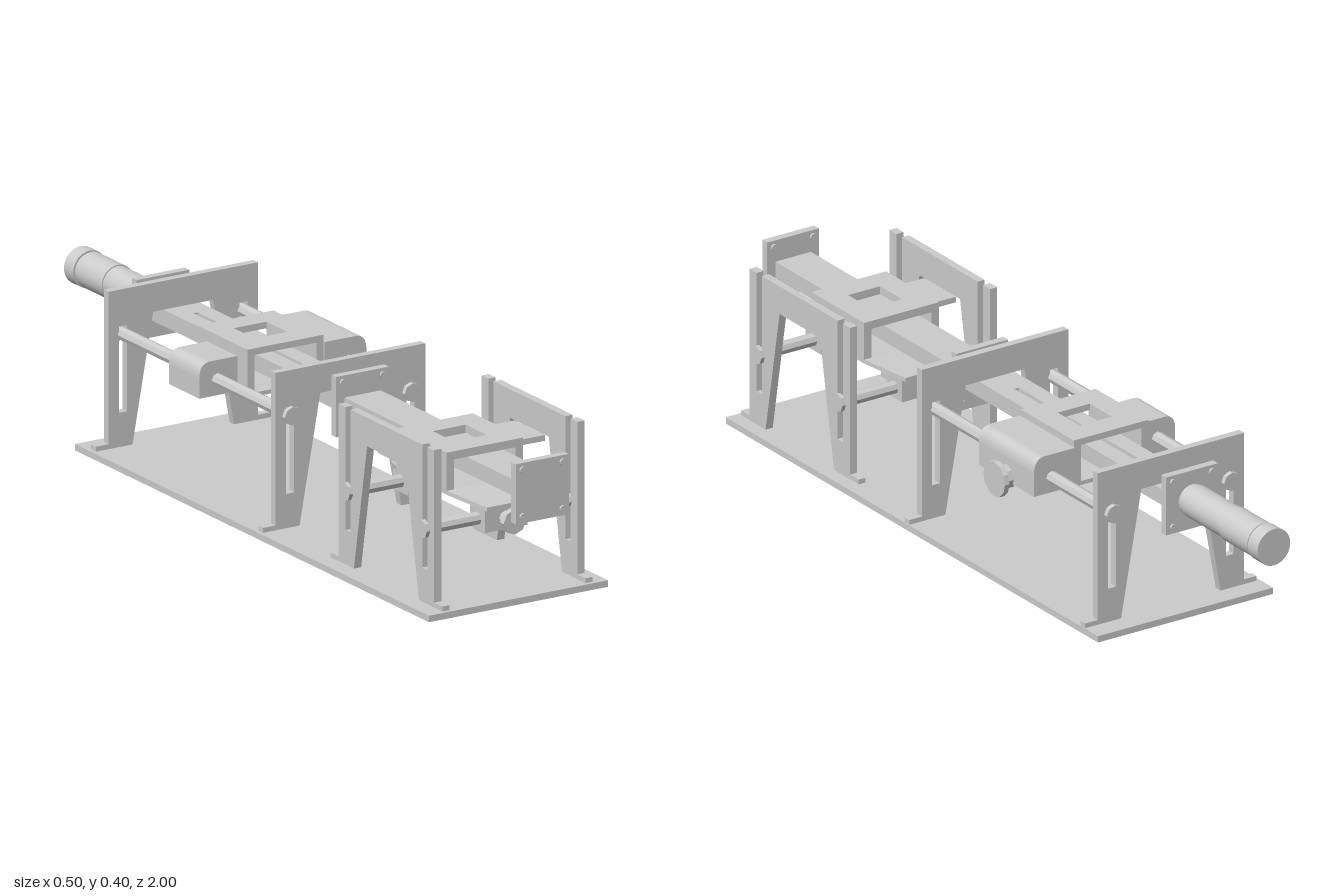
import * as THREE from 'three';

const mat = new THREE.MeshStandardMaterial({ color: 0xcccccc, flatShading: true });
const smooth = new THREE.MeshStandardMaterial({ color: 0xcccccc });
const CX = -0.005; // centreline of the beam and carriages
const FZ = 0.634;  // centre of the front stand

export function createModel() {
  const root = new THREE.Group();

  const add = (name, geo, parent = root, m = mat) => {
    const mesh = new THREE.Mesh(geo, m);
    mesh.name = name;
    parent.add(mesh);
    return mesh;
  };
  // box from its min and max corners
  const box = (name, x0, x1, y0, y1, z0, z1, parent) => {
    const b = add(name, new THREE.BoxGeometry(x1 - x0, y1 - y0, z1 - z0), parent);
    b.position.set((x0 + x1) / 2, (y0 + y1) / 2, (z0 + z1) / 2);
    return b;
  };
  // cylinder along an axis between two coordinates; a and b are the other two, in x, y, z order
  const rod = (name, axis, from, to, a, b, r, sides = 8, m = mat) => {
    const c = add(name, new THREE.CylinderGeometry(r, r, to - from, sides), root, m);
    const mid = (from + to) / 2;
    if (axis === 'x') { c.rotation.z = Math.PI / 2; c.position.set(mid, a, b); }
    else { c.rotation.x = Math.PI / 2; c.position.set(a, b, mid); }
    return c;
  };
  const shapeOf = pts => new THREE.Shape(pts.map(p => new THREE.Vector2(...p)));
  const rectHole = (x0, x1, y0, y1) =>
    new THREE.Path([[x0, y0], [x0, y1], [x1, y1], [x1, y0]].map(p => new THREE.Vector2(...p)));
  const extrude = (shape, depth) => {
    const g = new THREE.ExtrudeGeometry(shape, { depth, bevelEnabled: false });
    return g.translate(0, 0, -depth / 2);
  };

  // base plate
  box('basePlate', -0.25, 0.243, 0, 0.016, -0.64, 0.885);

  // two-legged stand plate with feet; slots are closed or open at the top
  const standPlate = openSlots => {
    const half = [[0.14, 0.016], [0.241, 0.016], [0.241, 0.028], [0.206, 0.028], [0.206, 0.4]];
    if (openSlots) half.push([0.177, 0.4], [0.177, 0.1], [0.155, 0.1], [0.155, 0.4]);
    const right = [[0.083, 0.33], ...half];
    const s = shapeOf([...right, ...right.map(([x, y]) => [-x, y]).reverse()]);
    if (!openSlots) for (const c of [-0.166, 0.166]) s.holes.push(rectHole(c - 0.011, c + 0.011, 0.1, 0.31));
    return extrude(s, 0.02);
  };
  for (const z of [0.145, -0.575]) add('rearStandPlate', standPlate(false)).position.z = z;
  for (const x of [-0.197, 0.197]) {
    const p = add('frontStandPlate', standPlate(true));
    p.rotation.y = Math.PI / 2;
    p.position.set(x, 0, FZ);
  }

  // guide rods with bolt heads
  for (const s of [-1, 1]) {
    rod('rearGuideRod', 'z', -0.59, 0.16, s * 0.165, 0.29, 0.016);
    for (const z of [0.155, -0.597]) rod('rearRodBolt', 'z', z, z + 0.012, s * 0.165, 0.29, 0.023);
    const z = FZ + s * 0.166;
    rod('frontGuideRod', 'x', -0.21, 0.21, 0.198, z, 0.016);
    for (const x of [-0.217, 0.207]) rod('frontRodBolt', 'x', x, x + 0.01, 0.198, z, 0.023);
  }

  // front beam, and rear beam with a long slit in its top
  box('frontBeam', CX - 0.05, CX + 0.05, 0.29, 0.33, 0.2, 0.98);
  box('rearBeamBody', CX - 0.05, CX + 0.05, 0.29, 0.318, -0.655, 0.2);
  const beamTop = shapeOf([[-0.05, -0.2], [0.05, -0.2], [0.05, 0.655], [-0.05, 0.655]]);
  beamTop.holes.push(rectHole(-0.006, 0.006, -0.055, 0.505));
  const top = add('rearBeamTop', extrude(beamTop, 0.012));
  top.rotation.x = -Math.PI / 2;
  top.position.set(CX, 0.324, 0);

  // square flanges with corner bolts
  for (const z of [0.98, 0.205, -0.655]) {
    box('beamFlange', CX - 0.073, CX + 0.073, 0.237, 0.384, z - 0.01, z + 0.01);
    for (const dx of [-0.055, 0.055]) for (const dy of [-0.057, 0.057])
      rod('flangeBolt', 'z', z - 0.015, z + 0.015, CX + dx, 0.311 + dy, 0.008, 12);
  }

  // motor
  rod('motorCollar', 'z', -0.69, -0.66, CX, 0.311, 0.038, 32, smooth);
  rod('motorBody', 'z', -0.84, -0.68, CX, 0.311, 0.041, 32, smooth);
  rod('motorGearbox', 'z', -0.955, -0.84, CX, 0.311, 0.044, 32, smooth);
  rod('motorGroove', 'z', -0.962, -0.95, CX, 0.311, 0.041, 32, smooth);
  rod('motorCap', 'z', -1, -0.96, CX, 0.311, 0.046, 32, smooth);

  // carriage frame: windowed top plate, side walls and a bottom plate
  const carriage = (name, z, topY, thick) => {
    const g = new THREE.Group();
    g.name = name;
    root.add(g);
    const s = shapeOf([[-0.105, -0.108], [0.105, -0.108], [0.105, 0.108], [-0.105, 0.108]]);
    s.holes.push(rectHole(-0.045, 0.045, -0.045, 0.045));
    const t = add('carriageTop', extrude(s, thick), g);
    t.rotation.x = -Math.PI / 2;
    t.position.set(CX, topY - thick / 2, z);
    for (const x of [-0.105, 0.085])
      box('carriageWall', CX + x, CX + x + 0.02, 0.25, topY - thick, z - 0.108, z + 0.108, g);
    box('carriageBottom', CX - 0.105, CX + 0.105, 0.247, 0.257, z - 0.108, z + 0.108, g);
    return g;
  };

  // front carriage with wings, sloping flares and rod clamps
  const front = carriage('frontCarriage', FZ, 0.35, 0.02);
  for (const s of [-1, 1]) {
    box('carriageWing', s < 0 ? -0.188 : 0.1, s < 0 ? -0.11 : 0.188, 0.315, 0.329, FZ - 0.065, FZ + 0.065, front);
    // flare narrows and drops towards the clamp
    const flare = new THREE.BoxGeometry(0.21, 0.01, 0.1);
    const p = flare.attributes.position;
    for (let i = 0; i < p.count; i++) if (p.getZ(i) * s > 0) {
      p.setX(i, p.getX(i) * 0.55);
      p.setY(i, p.getY(i) - 0.022);
    }
    flare.computeVertexNormals();
    add('carriageFlare', flare, front).position.set(CX, 0.252, FZ + s * 0.158);
    const z = FZ + s * 0.166;
    box('rodClamp', CX - 0.057, CX + 0.06, 0.17, 0.23, z - 0.032, z + 0.032, front);
  }
  rod('clampKnobStem', 'z', 0.83, 0.855, CX, 0.198, 0.018);
  rod('clampKnob', 'z', 0.855, 0.872, CX, 0.198, 0.031);

  // rear carriage with rounded bearing blocks around the rods
  const rear = carriage('rearCarriage', -0.225, 0.365, 0.016);
  const bearing = (side, depth, h) => {
    const s = new THREE.Shape();
    s.moveTo(0.1, 0.252);
    s.lineTo(0.215, 0.252);
    s.lineTo(0.215, h - 0.035);
    s.quadraticCurveTo(0.213, h, 0.185, h);
    s.lineTo(0.1, h);
    const b = add('bearingBlock', extrude(s, depth), rear);
    if (side < 0) b.rotation.y = Math.PI;
    b.position.z = -0.225;
  };
  bearing(1, 0.225, 0.348);
  bearing(-1, 0.13, 0.338);

  // side locking knob
  rod('lockKnobStem', 'x', 0.21, 0.237, 0.265, -0.225, 0.03);
  rod('lockKnob', 'x', 0.237, 0.25, 0.265, -0.225, 0.044, 12);

  return root;
}
